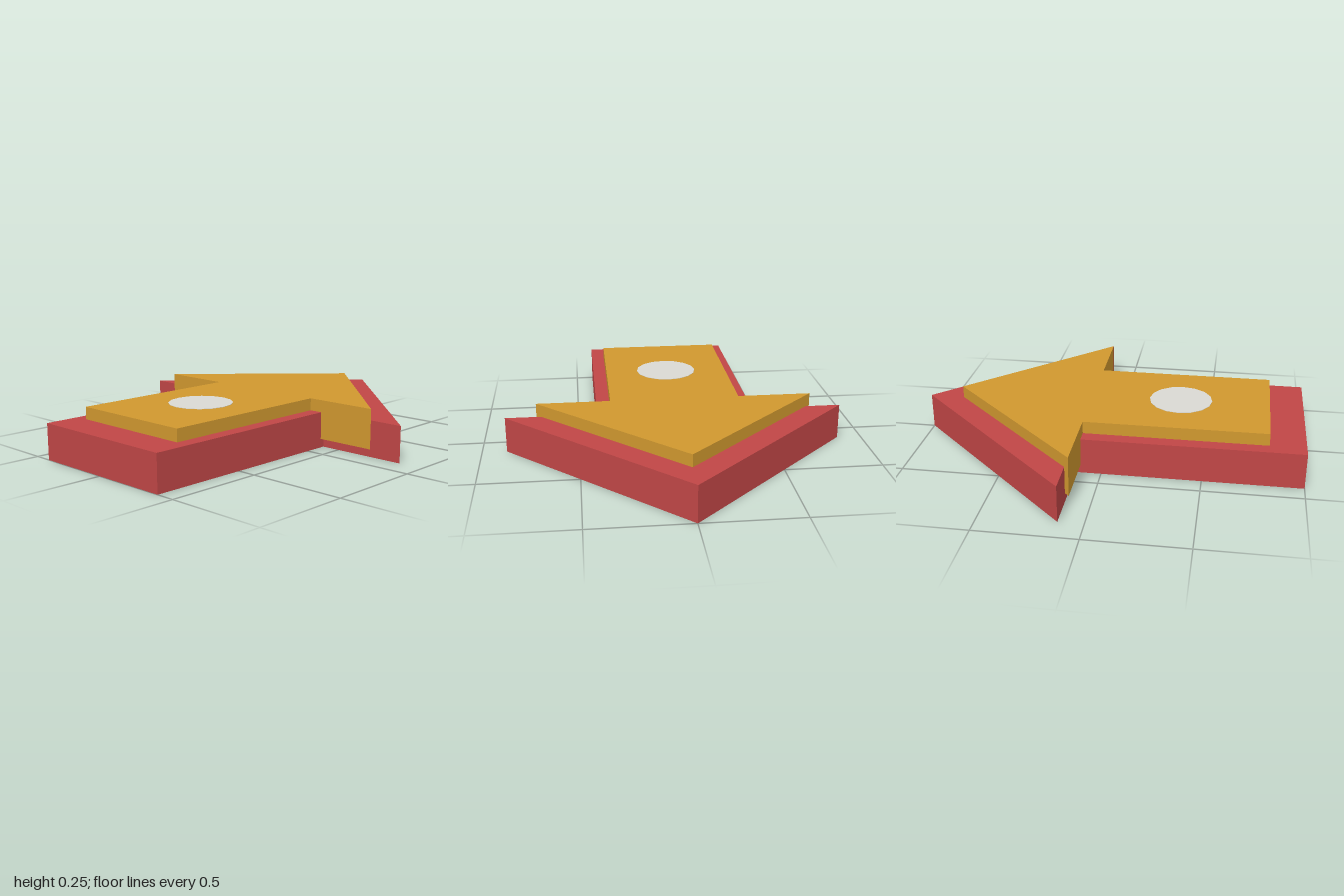
import * as THREE from 'three';

const red = new THREE.MeshStandardMaterial({ name: 'red', color: 0xc04646 });
const gold = new THREE.MeshStandardMaterial({ name: 'gold', color: 0xd0982f });
const paleGrey = new THREE.MeshStandardMaterial({ name: 'paleGrey', color: 0xdad9d3 });

// Arrow slab lying flat, pointing to +x, between heights bottom and top
function arrow(name, material, bottom, top, { tail, neck, tip, stem, barb }) {
  const shape = new THREE.Shape([
    [tail, -stem], [neck, -stem], [neck, -barb], [tip, 0],
    [neck, barb], [neck, stem], [tail, stem],
  ].map(([x, y]) => new THREE.Vector2(x, y)));
  const geometry = new THREE.ExtrudeGeometry(shape, { depth: top - bottom, bevelEnabled: false });
  geometry.rotateX(-Math.PI / 2);
  geometry.translate(0, bottom, 0);
  const mesh = new THREE.Mesh(geometry, material);
  mesh.name = name;
  return mesh;
}

export function createModel() {
  const model = new THREE.Group();
  model.name = 'arrowSign';

  // Wide border slab
  model.add(arrow('baseArrow', red, 0, 0.185,
    { tail: -1, neck: 0.125, tip: 1, stem: 0.404, barb: 0.873 }));

  // Smaller raised arrow, sunk into the base
  model.add(arrow('raisedArrow', gold, 0.045, 0.248,
    { tail: -0.82, neck: 0.102, tip: 0.818, stem: 0.334, barb: 0.714 }));

  // Round plate on the stem
  const disc = new THREE.Mesh(new THREE.CylinderGeometry(0.163, 0.163, 0.004, 16), paleGrey);
  disc.name = 'disc';
  disc.position.set(-0.36, 0.248, 0);
  model.add(disc);

  return model;
}
